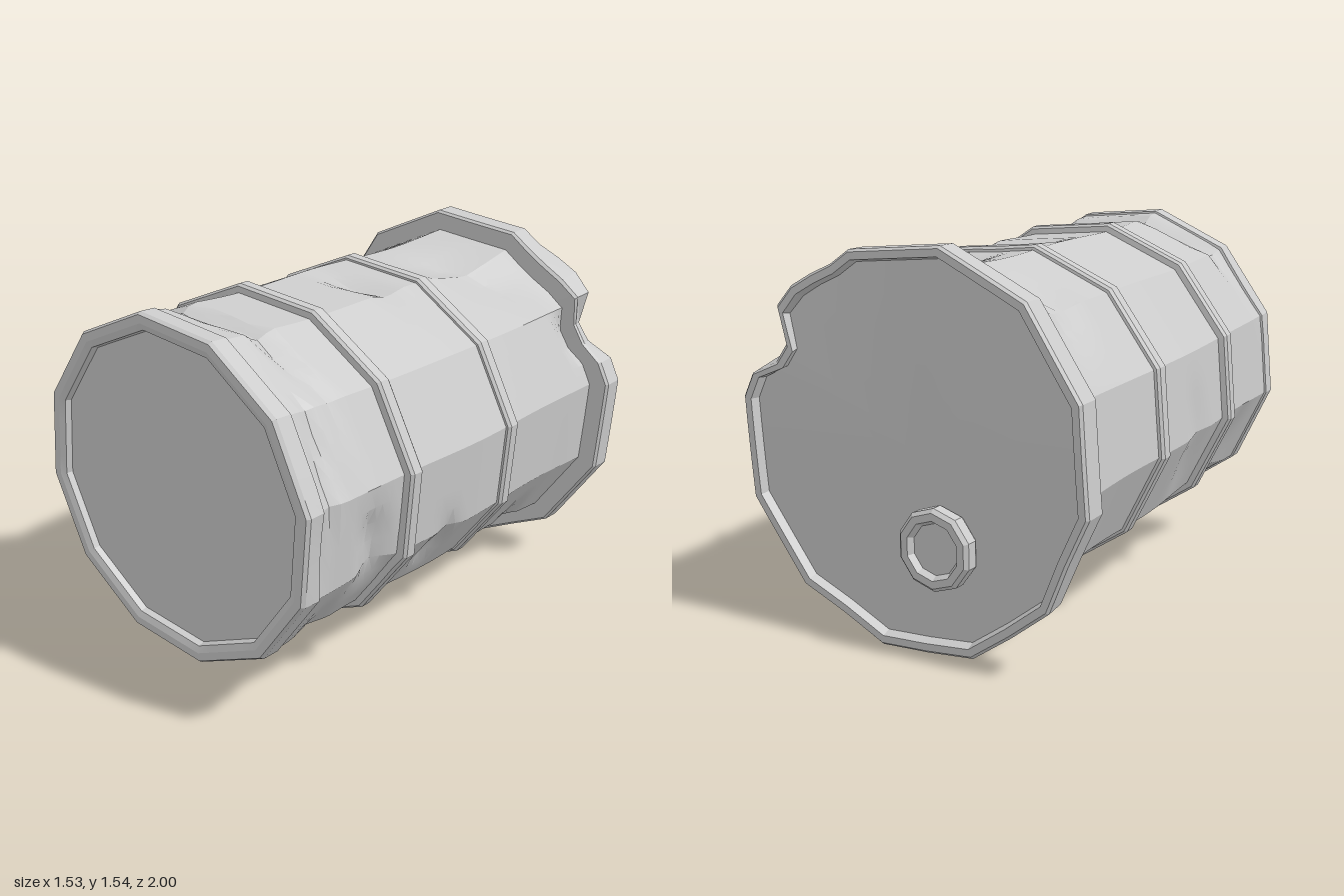
import * as THREE from 'three';
import { mergeVertices, toCreasedNormals } from 'three/addons/utils/BufferGeometryUtils.js';

const SIDES = 12, SUB = 4, SEG = SIDES * SUB;
const rad = THREE.MathUtils.degToRad;
const STEP = rad(360 / SIDES), PHASE = rad(10);

// Dents: angle (deg), z, depth, half-width in angle (deg), half-width in z, z shift per radian
const DENTS = [
  [90, 0.78, 0.045, 75, 0.07, 0.09],   // long crease behind the front rim
  [20, 0.85, 0.03, 40, 0.06, -0.1],
  [80, 0.02, 0.04, 18, 0.1, 0.1],      // dent on top, between the bands
  [68, -0.58, 0.055, 26, 0.27, 0.3],   // folded dent on top, at the back
  [130, -0.6, 0.035, 20, 0.18, -0.2],
  [30, -0.98, 0.11, 11.5, 0.24, 0],    // notch knocked into the back rim
  [47, -0.95, -0.03, 14, 0.15, 0],     // rim bent outwards beside it
  [250, -0.95, -0.02, 45, 0.15, 0],    // and below
  [-14, 0.6, 0.05, 18, 0.12, 0.1],     // creases low on the left
  [-28, 0.16, 0.035, 14, 0.09, -0.1],
  [-50, -0.6, 0.03, 10, 0.08, 0],
  [-60, 0.72, 0.02, 30, 0.1, 0.1],
  [195, 0.15, 0.02, 26, 0.13, 0.1],    // shallow creases on the right
  [215, 0.68, 0.02, 26, 0.14, -0.1],
];

function dentDepth(angle, z) {
  let sum = 0;
  for (const [deg, z0, depth, wa, wz, slope] of DENTS) {
    let da = angle - rad(deg);
    da = Math.atan2(Math.sin(da), Math.cos(da));
    const a = Math.max(0, 1 - Math.abs(da) / rad(wa));
    const b = Math.max(0, 1 - Math.abs(z - z0 - slope * da) / wz);
    sum += depth * Math.min(1, a * 1.5) * b;
  }
  return sum;
}

// Point on the bent, twelve-sided drum, which is squashed in the middle
function drumPoint(j, r, z) {
  const angle = PHASE + (j / SUB) * STEP;
  const within = ((j % SUB) / SUB - 0.5) * STEP;
  let radius = r * Math.cos(STEP / 2) / Math.cos(within);
  radius -= dentDepth(angle, z) * Math.min(1, r / 0.66);
  const squash = 0.034 * Math.cos((z - 0.15) * 1.45);
  const x = radius * Math.cos(angle) * (1 + squash);
  const y = radius * Math.sin(angle) * (1 - squash);
  const bend = Math.min(1, 2 * (1 - z));
  const rear = Math.max(0, -z);
  return [
    x + 0.024 + 0.025 * z,
    y + 0.79 + 0.035 * z,
    z + bend * (0.016 * y - (0.022 - 0.013 * rear) * x) - rear * 0.022 * r * Math.cos(2 * angle),
  ];
}

// Sweep a [radius, z] profile, listed from the front to the back, round the drum
function drumPart(name, profile, material) {
  const pos = [], index = [];
  for (const [r, z] of profile)
    for (let j = 0; j < SEG; j++) pos.push(...drumPoint(j, r, z));
  for (let i = 0; i < profile.length - 1; i++)
    for (let j = 0; j < SEG; j++) {
      const k = (j + 1) % SEG;
      const a = i * SEG + j, b = i * SEG + k, c = a + SEG, d = b + SEG;
      if (profile[i][0] > 0) index.push(a, c, b);
      if (profile[i + 1][0] > 0) index.push(b, c, d);
    }
  const geo = new THREE.BufferGeometry();
  geo.setAttribute('position', new THREE.Float32BufferAttribute(pos, 3));
  geo.setIndex(index);
  const mesh = new THREE.Mesh(toCreasedNormals(mergeVertices(geo), 0.3), material);
  mesh.name = name;
  return mesh;
}

export function createModel() {
  const model = new THREE.Group();
  model.name = 'dentedDrum';
  const material = new THREE.MeshStandardMaterial({ color: 0xcccccc, side: THREE.DoubleSide });
  const add = (name, profile) => model.add(drumPart(name, profile, material));

  // Body wall, slightly bulged between the bands
  const wall = [];
  for (let i = 0; i <= 46; i++) {
    const z = 0.94 - (i / 46) * 1.84;
    wall.push([0.683 + 0.007 * Math.cos(z * 6.5), z]);
  }
  add('bodyWall', wall);

  // Raised bands
  for (const [name, z, r] of [['frontBand', 0.433, 0.712], ['rearBand', -0.217, 0.704]])
    add(name, [[r - 0.05, z + 0.04], [r - 0.01, z + 0.034], [r, z + 0.022],
      [r, z - 0.022], [r - 0.01, z - 0.034], [r - 0.05, z - 0.04]]);

  // Front lid and rim
  add('frontLid', [[0, 0.963], [0.622, 0.963]]);
  add('frontRim', [[0.622, 0.963], [0.628, 0.99], [0.655, 1], [0.688, 1],
    [0.698, 0.985], [0.698, 0.915], [0.65, 0.9]]);

  // Back rim and lid
  add('backRim', [[0.66, -0.85], [0.765, -0.853], [0.775, -0.865], [0.775, -0.952],
    [0.765, -0.964], [0.735, -0.964], [0.725, -0.926]]);
  add('backLid', [[0.725, -0.926], [0, -0.926]]);

  // Filler cap on the back lid
  const capProfile = [[0.15, 0], [0.16, 0.015], [0.16, 0.06], [0.145, 0.075],
    [0.115, 0.075], [0.1, 0.05], [0, 0.05]].map(p => new THREE.Vector2(...p));
  const capGeo = new THREE.LatheGeometry(capProfile, 10);
  capGeo.deleteAttribute('normal');
  capGeo.deleteAttribute('uv');
  const cap = new THREE.Mesh(toCreasedNormals(mergeVertices(capGeo), 0.3), material);
  cap.name = 'fillerCap';
  cap.rotation.x = -Math.PI / 2;
  cap.position.set(-0.13, 0.415, -0.925);
  model.add(cap);

  return model;
}
